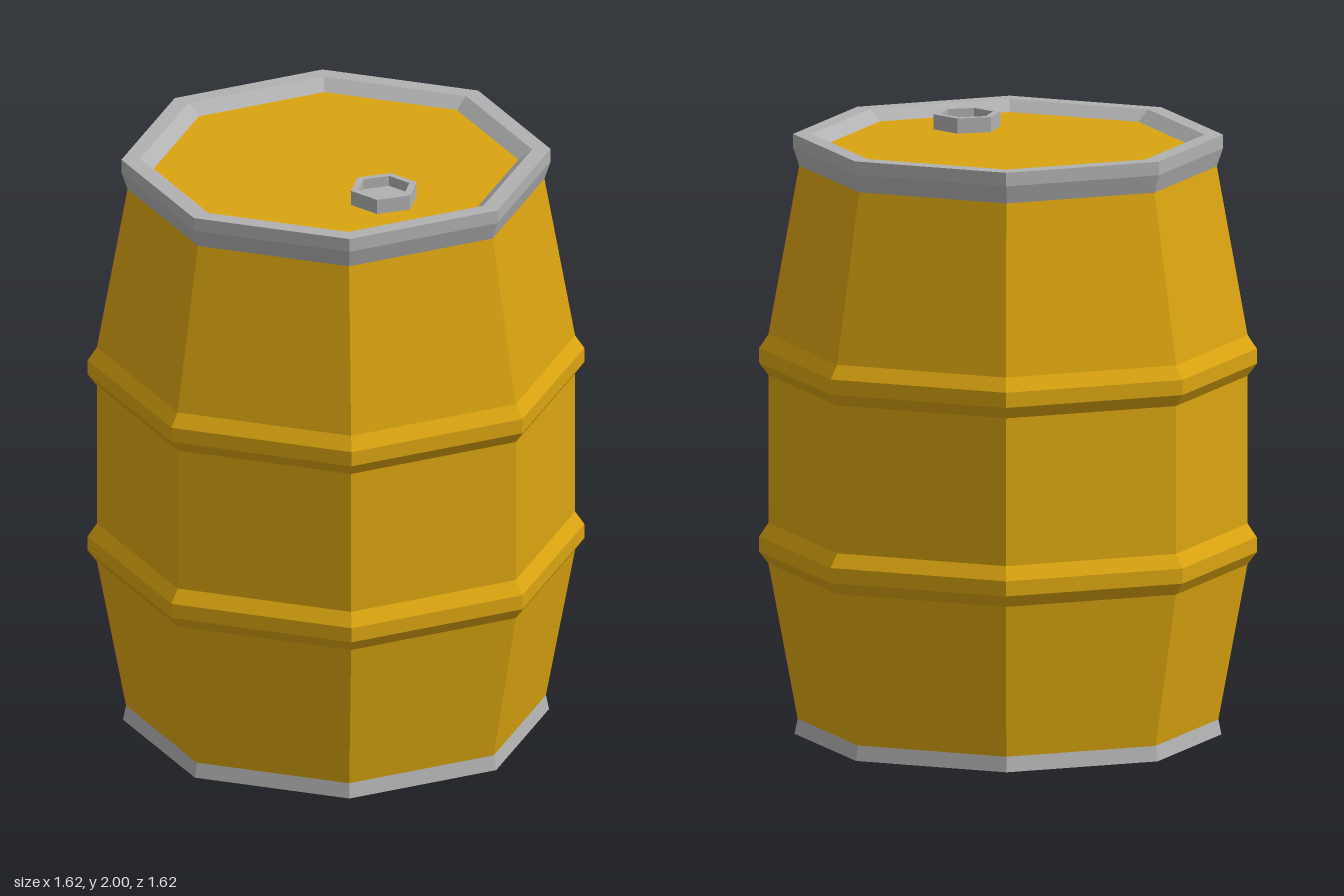
import * as THREE from 'three';

const yellow = new THREE.MeshStandardMaterial({ color: 0xdaa410 });
yellow.name = 'yellowPaint';
const grey = new THREE.MeshStandardMaterial({ color: 0xb1b1b1 });
grey.name = 'greyMetal';

// Faceted ring swept from [radius, height] points; corners lie on the z axis
function ring(name, profile, sides, material) {
  const points = profile.map(([r, y]) => new THREE.Vector2(r, y));
  const geometry = new THREE.LatheGeometry(points, sides).toNonIndexed();
  geometry.computeVertexNormals();
  const mesh = new THREE.Mesh(geometry, material);
  mesh.name = name;
  return mesh;
}

// Flat polygon facing up or down, with a corner on the z axis
function disc(name, radius, y, sides, material, down = false) {
  const geometry = new THREE.CircleGeometry(radius, sides, Math.PI / 2);
  geometry.rotateX(down ? Math.PI / 2 : -Math.PI / 2);
  const mesh = new THREE.Mesh(geometry, material);
  mesh.position.y = y;
  mesh.name = name;
  return mesh;
}

export function createModel() {
  const barrel = new THREE.Group();
  barrel.name = 'barrel';

  // Body with two raised hoops
  const hoop = (y) => [[0.78, y], [0.81, y + 0.04], [0.81, y + 0.09], [0.78, y + 0.135]];
  barrel.add(ring('body', [[0.685, 0.05], ...hoop(0.563), ...hoop(1.187), [0.68, 1.88]], 8, yellow));

  // Base
  barrel.add(ring('bottomTrim', [[0.695, 0], [0.685, 0.05]], 8, grey));
  barrel.add(disc('bottom', 0.695, 0, 8, yellow, true));

  // Rim around the sunken lid
  barrel.add(ring('topRim', [[0.68, 1.88], [0.70, 1.94], [0.70, 1.985], [0.64, 1.985], [0.595, 1.95]], 8, grey));
  barrel.add(disc('lid', 0.595, 1.95, 8, yellow));

  // Hollow hexagonal bung
  const bung = new THREE.Group();
  bung.name = 'bung';
  bung.position.set(-0.122, 0, 0.315);
  bung.add(ring('bungCollar', [[0.113, 1.95], [0.113, 2], [0.088, 2], [0.088, 1.965]], 6, grey));
  bung.add(disc('bungFloor', 0.088, 1.965, 6, grey));
  barrel.add(bung);

  return barrel;
}
